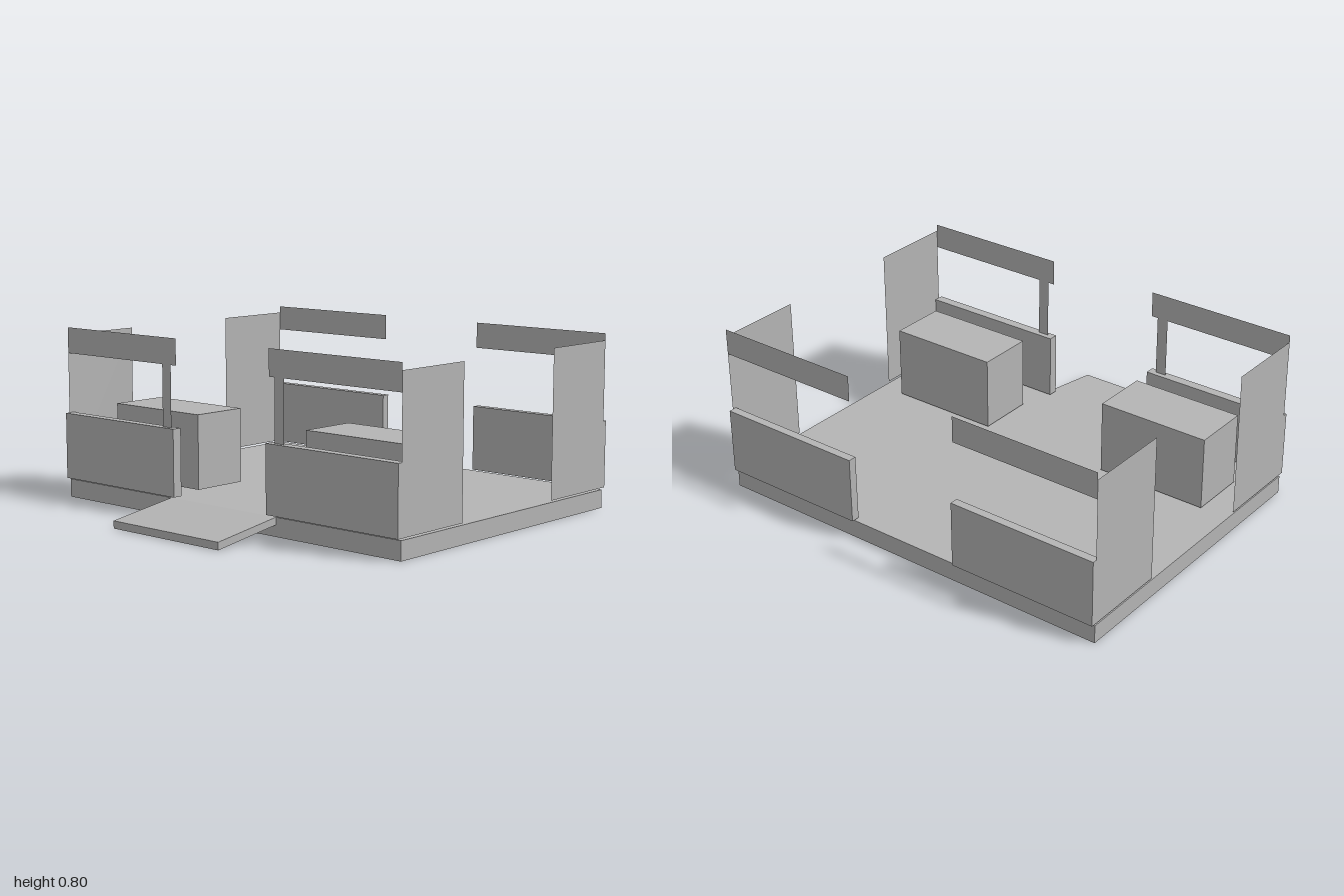
import * as THREE from 'three';

export function createModel() {
  const model = new THREE.Group();
  const grey = new THREE.MeshStandardMaterial({ color: 0xb4b4b4 });
  grey.name = 'plain grey';
  // Open sheets are seen from both sides
  const sheetGrey = grey.clone();
  sheetGrey.side = THREE.DoubleSide;

  const add = (name, geometry, material = grey) => {
    const mesh = new THREE.Mesh(geometry, material);
    mesh.name = name;
    model.add(mesh);
    return mesh;
  };

  // Box given by its lower and upper limits
  const block = (name, [x0, x1], [y0, y1], [z0, z1]) =>
    add(name, new THREE.BoxGeometry(x1 - x0, y1 - y0, z1 - z0))
      .position.set((x0 + x1) / 2, (y0 + y1) / 2, (z0 + z1) / 2);

  // Upright sheet facing front and back
  const sheet = (name, [x0, x1], [y0, y1], z) =>
    add(name, new THREE.PlaneGeometry(x1 - x0, y1 - y0), sheetGrey)
      .position.set((x0 + x1) / 2, (y0 + y1) / 2, z);

  // Upright sheet facing left and right
  const sideSheet = (name, x, [y0, y1], [z0, z1]) => {
    const mesh = add(name, new THREE.PlaneGeometry(z1 - z0, y1 - y0), sheetGrey);
    mesh.rotation.y = Math.PI / 2;
    mesh.position.set(x, (y0 + y1) / 2, (z0 + z1) / 2);
  };

  const front = 0.56, back = -0.885;

  // Floor slab
  block('floor', [-1, 1], [0, 0.085], [back, front]);

  // Entrance ramp: slanted profile drawn in z and y, extruded across x
  const profile = new THREE.Shape([
    new THREE.Vector2(front, 0.052),
    new THREE.Vector2(0.905, 0),
    new THREE.Vector2(0.905, 0.034),
    new THREE.Vector2(front, 0.085),
  ]);
  const ramp = new THREE.ExtrudeGeometry(profile, { depth: 0.636, bevelEnabled: false });
  ramp.rotateY(-Math.PI / 2);
  ramp.translate(0.318, 0, 0);
  add('ramp', ramp);

  for (const [side, s] of [['left', 1], ['right', -1]]) {
    const span = (a, b) => (s > 0 ? [a, b] : [-b, -a]);

    // Low counters and overhead bands at the front and back
    block(side + 'FrontPanel', span(0.28, 1), [0.093, 0.4], [0.535, 0.581]);
    block(side + 'BackPanel', span(0.28, 1), [0.093, 0.4], [-0.905, -0.866]);
    sheet(side + 'FrontBand', span(0.28, 1), [0.68, 0.8], front);
    sheet(side + 'BackBand', span(0.28, 1), [0.68, 0.8], back);

    // Post between front panel and band
    sheet(side + 'Post', span(0.313, 0.367), [0.39, 0.68], front);

    // Corner side walls
    sideSheet(side + 'FrontWall', s, [0.093, 0.768], [0.16, front]);
    sideSheet(side + 'BackWall', s, [0.093, 0.768], [back, -0.48]);

    // Table block behind the front panel
    block(side + 'Table', span(0.328, 0.868), [0.093, 0.437], [0.105, 0.38]);
  }
  return model;
}
